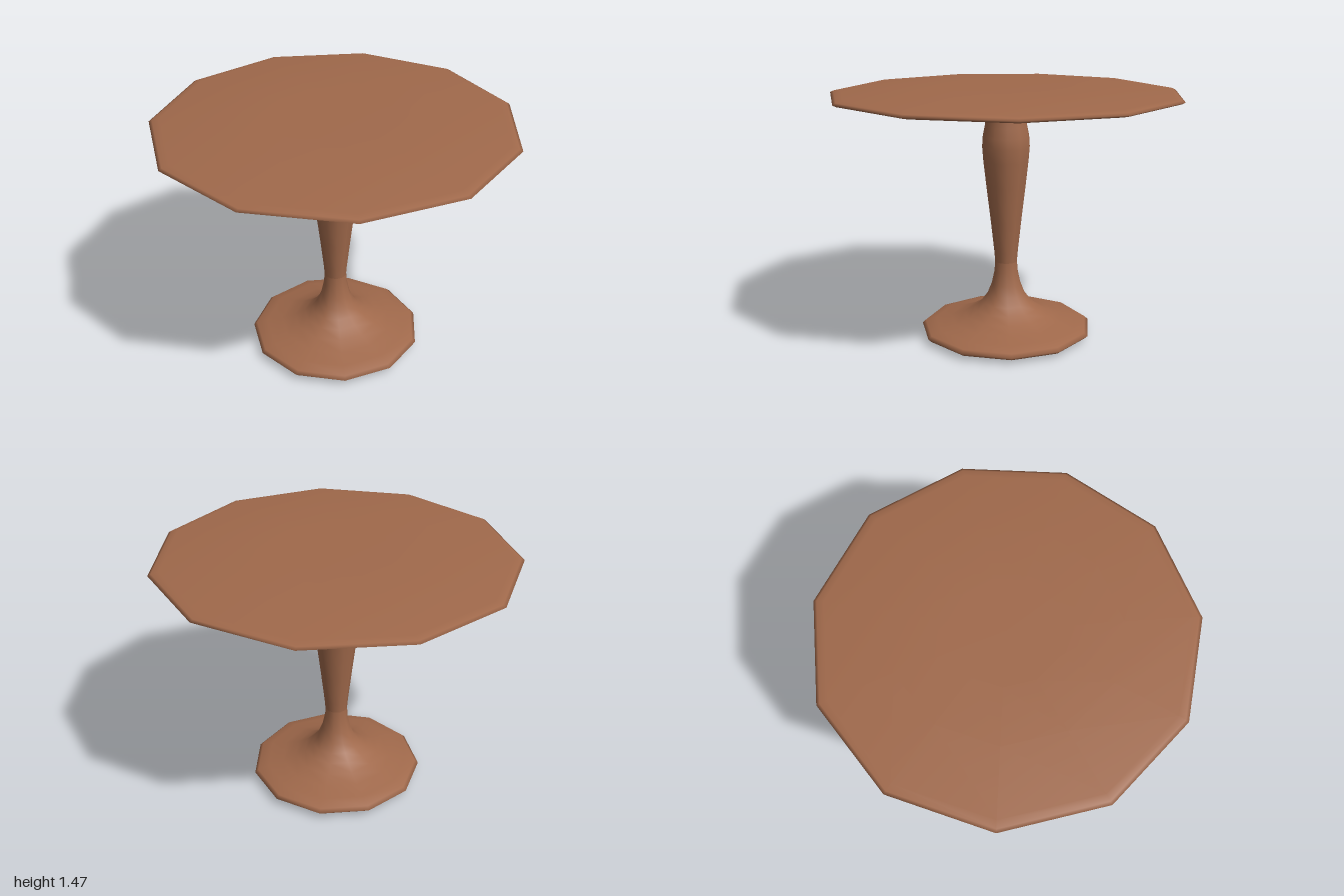
import * as THREE from 'three';

const SIDES = 11;
const AXIS_X = -0.02; // an odd-sided outline sits slightly off its own centre

// Smooth-shaded turned part from [radius, height] pairs, with a corner on +x
function turned(name, profile, material) {
  const points = profile.map(([r, y]) => new THREE.Vector2(r, y));
  const mesh = new THREE.Mesh(new THREE.LatheGeometry(points, SIDES, Math.PI / 2), material);
  mesh.name = name;
  mesh.position.x = AXIS_X;
  return mesh;
}

export function createModel() {
  const wood = new THREE.MeshStandardMaterial({ color: 0xa0694b });
  wood.name = 'brown wood';

  const table = new THREE.Group();
  table.name = 'pedestalTable';

  // Flat disc under the foot
  table.add(turned('footPad', [[0, 0], [0.24, 0]], wood));

  // Flared foot, from the underside round the rim and up to the waist
  table.add(turned('foot', [
    [0.24, 0], [0.35, 0.004], [0.44, 0.01], [0.485, 0.02], [0.505, 0.038],
    [0.485, 0.056], [0.42, 0.075], [0.33, 0.094], [0.25, 0.122], [0.19, 0.157],
    [0.145, 0.195], [0.11, 0.242], [0.085, 0.305], [0.069, 0.38], [0.065, 0.44],
  ], wood));

  // Stem swelling towards the top
  table.add(turned('stem', [
    [0.065, 0.44], [0.07, 0.5], [0.09, 0.68], [0.115, 0.89], [0.132, 1.04],
    [0.138, 1.12], [0.134, 1.18], [0.122, 1.24], [0.115, 1.285],
  ], wood));

  // Tabletop: fillet, sloping underside, thin rounded rim, slightly domed top
  table.add(turned('tabletop', [
    [0.115, 1.285], [0.124, 1.3], [0.15, 1.311], [0.24, 1.323], [0.6, 1.362],
    [0.95, 1.402], [0.99, 1.41], [1.008, 1.42], [0.99, 1.43], [0.95, 1.438],
    [0.6, 1.467], [0.3, 1.47], [0, 1.47],
  ], wood));

  return table;
}
